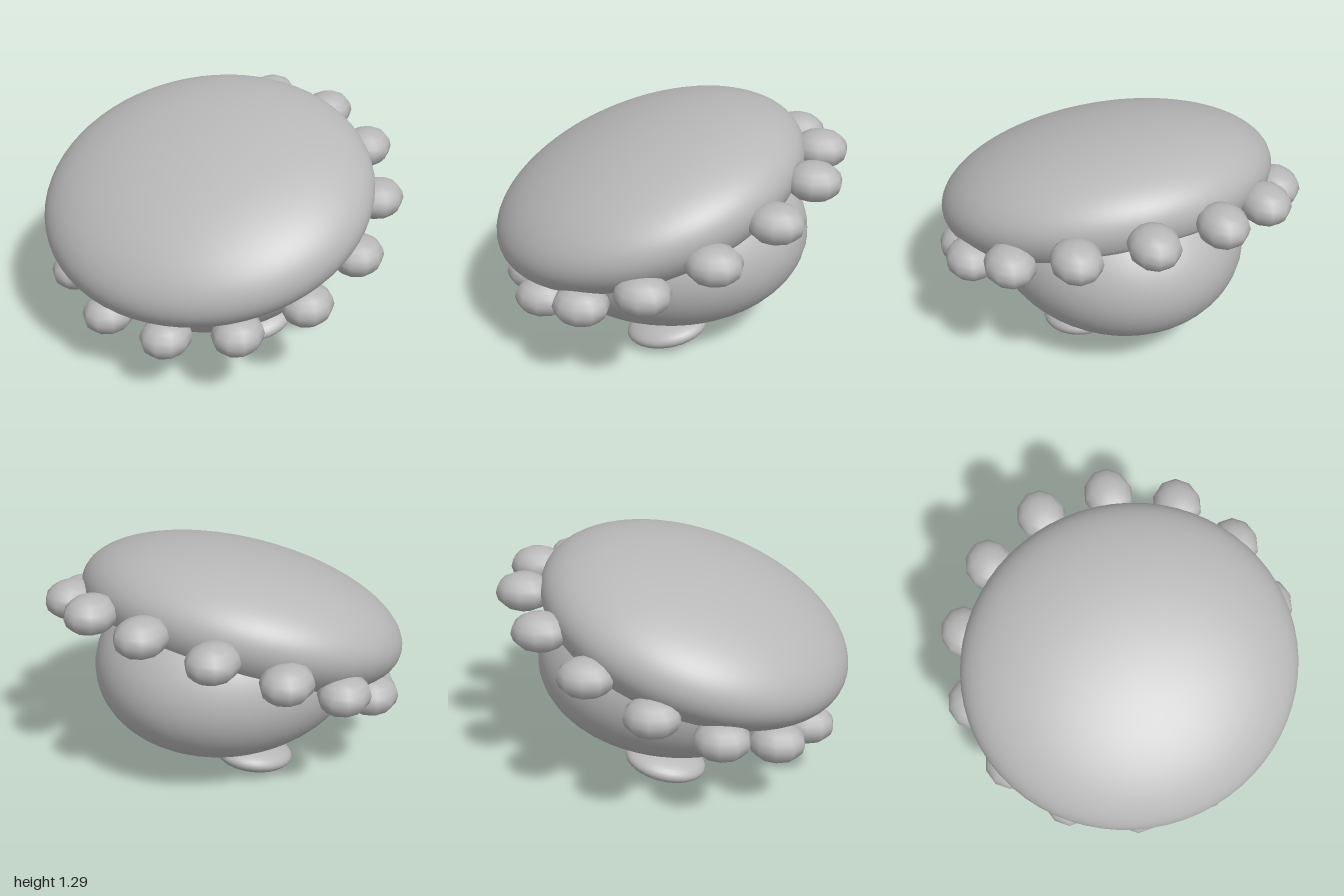
import * as THREE from 'three';
import { mergeVertices } from 'three/addons/utils/BufferGeometryUtils.js';

export function createModel() {
  const model = new THREE.Group();
  const grey = new THREE.MeshStandardMaterial({ color: 0xb8b8b8 });
  grey.name = 'plain grey';

  // Smooth ellipsoid with half sizes, centre and forward tilt
  function ellipsoid(name, size, centre, tilt = 0, segments = 32, rings = 20, parent = model) {
    const geometry = new THREE.SphereGeometry(1, segments, rings);
    geometry.scale(...size);
    const mesh = new THREE.Mesh(geometry, grey);
    mesh.name = name;
    mesh.position.set(...centre);
    mesh.rotation.x = tilt;
    parent.add(mesh);
    return mesh;
  }

  // Cap: a tilted ellipsoid whose underside is flattened on a sloping plane
  const tilt = THREE.MathUtils.degToRad(18.8);
  let capGeometry = new THREE.SphereGeometry(1, 64, 48);
  capGeometry.scale(0.91, 0.38, 0.867);
  capGeometry.rotateX(tilt);
  capGeometry.translate(0, 0.84, 0.09);
  const p = capGeometry.attributes.position;
  for (let i = 0; i < p.count; i++) {
    p.setY(i, Math.max(p.getY(i), 0.631 - 0.47 * p.getZ(i)));
  }
  capGeometry.deleteAttribute('uv');
  capGeometry.deleteAttribute('normal');
  capGeometry = mergeVertices(capGeometry, 1e-4);
  capGeometry.computeVertexNormals();
  const cap = new THREE.Mesh(capGeometry, grey);
  cap.name = 'cap';
  model.add(cap);

  // Body under the cap
  ellipsoid('body', [0.68, 0.51, 0.78], [0, 0.61, 0], 0, 48, 32);

  // Ring of beads around the sloping rim
  const beads = new THREE.Group();
  beads.name = 'rimBeads';
  model.add(beads);
  const count = 14, radius = 0.86, slope = THREE.MathUtils.degToRad(25.1);
  for (let i = 0; i < count; i++) {
    const a = ((i + 0.5) / count) * Math.PI * 2;
    const along = Math.cos(a) * radius;
    ellipsoid('bead', [0.132, 0.104, 0.15],
      [Math.sin(a) * radius, 0.69 - along * Math.sin(slope), -0.05 + along * Math.cos(slope)],
      0, 10, 8, beads);
  }

  // Feet and the small nub between them
  for (const side of [-1, 1]) {
    ellipsoid(side > 0 ? 'leftFoot' : 'rightFoot', [0.195, 0.079, 0.224],
      [side * 0.245, 0.095, -0.055], THREE.MathUtils.degToRad(12));
  }
  ellipsoid('nub', [0.053, 0.02, 0.045], [0, 0.036, 0.085], 0, 16, 10);

  return model;
}
